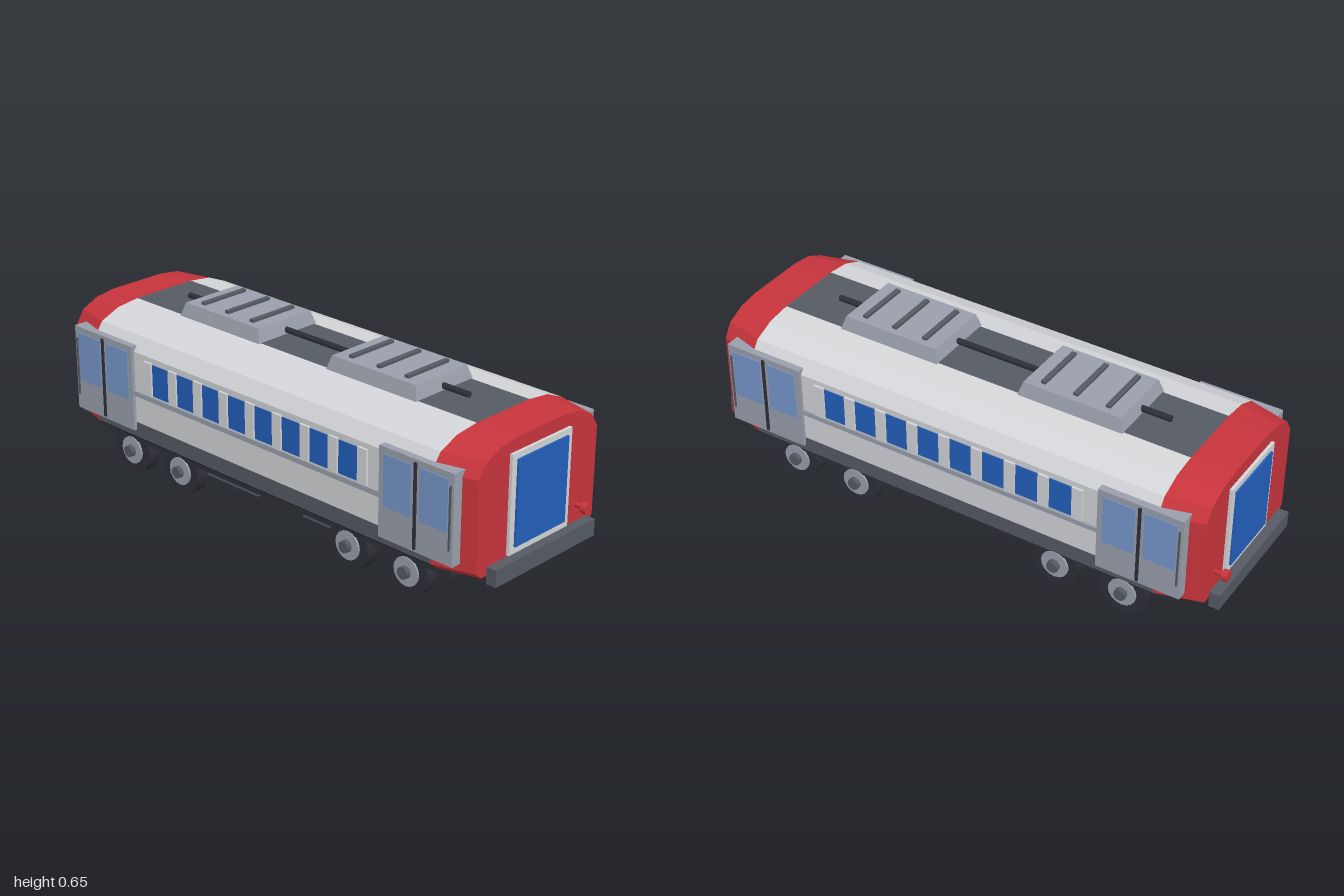
import * as THREE from 'three';

const mat = (name, color) => {
  const m = new THREE.MeshStandardMaterial({ color });
  m.name = name;
  return m;
};

export function createModel() {
  const red = mat('red paint', 0xc8343c), white = mat('white paint', 0xd4d6d9);
  const blue = mat('window blue', 0x2360bc), glass = mat('door glass', 0x7898cc);
  const grey = mat('light grey metal', 0x9aa0ac), dark = mat('dark grey metal', 0x565a64);
  const black = mat('near black', 0x2e3038);

  const model = new THREE.Group();
  model.name = 'railCar';

  const add = (name, geo, material, x = 0, y = 0, z = 0, parent = model) => {
    const mesh = new THREE.Mesh(geo, material);
    mesh.name = name;
    mesh.position.set(x, y, z);
    parent.add(mesh);
    return mesh;
  };
  // box given by its min and max on each axis
  const box = (name, material, [x0, x1], [y0, y1], [z0, z1], parent) =>
    add(name, new THREE.BoxGeometry(x1 - x0, y1 - y0, z1 - z0), material,
      (x0 + x1) / 2, (y0 + y1) / 2, (z0 + z1) / 2, parent);
  // cylinder lying along x or z
  const rod = (name, material, axis, r, len, x, y, z, sides = 16, parent = model) => {
    const geo = new THREE.CylinderGeometry(r, r, len, sides);
    if (axis === 'x') geo.rotateZ(Math.PI / 2); else geo.rotateX(Math.PI / 2);
    return add(name, geo, material, x, y, z, parent);
  };

  // body cross-section, counterclockwise from the lower +x corner
  const half = [[0.305, 0.155], [0.333, 0.178], [0.333, 0.235], [0.333, 0.503],
    [0.298, 0.552], [0.222, 0.584], [0.13, 0.595]];
  const section = [...half, ...half.slice().reverse().map(([x, y]) => [-x, y])];
  const nose = section.map(([x, y]) => [x * 0.88, 0.35 + (y - 0.35) * 0.98]);

  // skin between a front and a back section, for the chosen edges
  const skin = (front, zf, back, zb, edges) => {
    const v = [];
    for (const i of edges) {
      const j = (i + 1) % front.length;
      const af = [...front[i], zf], bf = [...front[j], zf];
      const ab = [...back[i], zb], bb = [...back[j], zb];
      v.push(...af, ...ab, ...bb, ...af, ...bb, ...bf);
    }
    const geo = new THREE.BufferGeometry();
    geo.setAttribute('position', new THREE.Float32BufferAttribute(v, 3));
    geo.computeVertexNormals();
    return geo;
  };
  const shell = (name, material, edges) =>
    add(name, skin(section, 0.8, section, -0.8, edges), material);
  shell('bodyPanels', white, [2, 3, 4, 5, 7, 8, 9, 10]);
  shell('lowerBand', dark, [1, 11]);
  shell('roofStrip', dark, [6]);
  shell('underside', black, [0, 12, 13]);
  box('underframe', black, [-0.293, 0.293], [0.13, 0.16], [-0.85, 0.85]);

  // tapered ends with window, bumper and lamp
  const allEdges = section.map((_, i) => i);
  const capShape = new THREE.Shape(nose.map(([x, y]) => new THREE.Vector2(x, y)));
  for (const s of [1, -1]) {
    add('taperedEnd', s > 0 ? skin(nose, 0.95, section, 0.8, allEdges)
      : skin(section, -0.8, nose, -0.95, allEdges), red);
    const end = new THREE.Group();
    end.name = s > 0 ? 'frontEnd' : 'backEnd';
    end.rotation.y = s > 0 ? 0 : Math.PI;
    model.add(end);
    add('endPanel', new THREE.ShapeGeometry(capShape), red, 0, 0, 0.95, end);
    box('endWindowFrame', white, [-0.148, 0.148], [0.195, 0.543], [0.945, 0.961], end);
    box('endWindow', blue, [-0.125, 0.125], [0.22, 0.522], [0.955, 0.968], end);
    box('bumper', dark, [-0.25, 0.25], [0.135, 0.195], [0.957, 0.995], end);
    box('bumperMount', black, [-0.2, 0.2], [0.14, 0.175], [0.84, 0.96], end);
    rod('lamp', red, 'z', 0.02, 0.02, 0.205, 0.247, s * 0.99);
    rod('lampStem', red, 'z', 0.009, 0.04, 0.205, 0.247, s * 0.965, 8);
  }

  // side windows, pillars, sill and doors on both sides
  for (const s of [1, -1]) {
    const side = new THREE.Group();
    side.name = s > 0 ? 'leftSide' : 'rightSide';
    side.rotation.y = s > 0 ? 0 : Math.PI;
    model.add(side);
    for (let i = 0; i < 8; i++) {
      const z = (i - 3.5) * 0.128;
      box('sideWindow', blue, [0.33, 0.336], [0.362, 0.48], [z - 0.043, z + 0.043], side);
    }
    for (let i = 0; i < 9; i++) {
      const z = (i - 4) * 0.128;
      box('windowPillar', white, [0.33, 0.342], [0.36, 0.485], [z - 0.02, z + 0.02], side);
    }
    box('windowSill', grey, [0.33, 0.342], [0.34, 0.358], [-0.59, 0.59], side);
    for (const e of [1, -1]) {
      const door = new THREE.Group();
      door.name = 'doubleDoor';
      door.position.z = e * 0.743;
      side.add(door);
      box('doorPanel', grey, [0.29, 0.345], [0.205, 0.523], [-0.154, 0.154], door);
      box('doorSeam', black, [0.34, 0.351], [0.215, 0.513], [-0.005, 0.005], door);
      for (const d of [1, -1])
        box('doorGlass', glass, [0.341, 0.348], [0.318, 0.5],
          [d * 0.075 - 0.058, d * 0.075 + 0.058], door);
      box('doorHandle', dark, [0.34, 0.35], [0.26, 0.48], [e * 0.142 - 0.003, e * 0.142 + 0.003], door);
    }
  }

  // roof units with sloping sides and three ridges each
  rod('roofPipe', black, 'z', 0.011, 1.32, 0, 0.608, 0, 8);
  for (const s of [1, -1]) {
    const unit = new THREE.BoxGeometry(0.28, 0.053, 0.4);
    const p = unit.attributes.position;
    for (let i = 0; i < p.count; i++)
      if (p.getY(i) > 0) p.setXYZ(i, p.getX(i) * 0.89, p.getY(i), p.getZ(i) * 0.92);
    const flat = unit.toNonIndexed();
    flat.computeVertexNormals();
    add('roofUnit', flat, grey, 0, 0.6165, s * 0.358);
    for (const z of [0.235, 0.358, 0.48])
      box('roofUnitRidge', dark, [-0.1, 0.1], [0.64, 0.653], [s * z - 0.009, s * z + 0.009]);
    box('equipmentBox', dark, [-0.2, 0.2], [0.055, 0.135], [s * 0.24 - 0.13, s * 0.24 + 0.13]);
  }

  // two bogies, each with two axles
  for (const s of [1, -1]) {
    const bogie = new THREE.Group();
    bogie.name = s > 0 ? 'frontBogie' : 'backBogie';
    bogie.position.z = s * 0.537;
    model.add(bogie);
    for (const x of [0.2, -0.2])
      box('bogieBeam', black, [x - 0.035, x + 0.035], [0.105, 0.132], [-0.25, 0.25], bogie);
    for (const z of [-0.22, 0, 0.22])
      box('crossBeam', black, [-0.165, 0.165], [0.103, 0.13], [z - 0.025, z + 0.025], bogie);
    for (const z of [-0.129, 0.129]) {
      box('axleBeam', black, [-0.235, 0.235], [0.078, 0.106], [z - 0.02, z + 0.02], bogie);
      rod('axle', black, 'x', 0.015, 0.52, 0, 0.088, z, 10, bogie);
      for (const x of [1, -1]) {
        rod('wheel', black, 'x', 0.088, 0.046, x * 0.267, 0.088, z, 20, bogie);
        rod('wheelDisc', grey, 'x', 0.052, 0.01, x * 0.292, 0.088, z, 16, bogie);
        rod('wheelHub', dark, 'x', 0.022, 0.03, x * 0.3, 0.088, z, 10, bogie);
      }
    }
  }
  return model;
}
